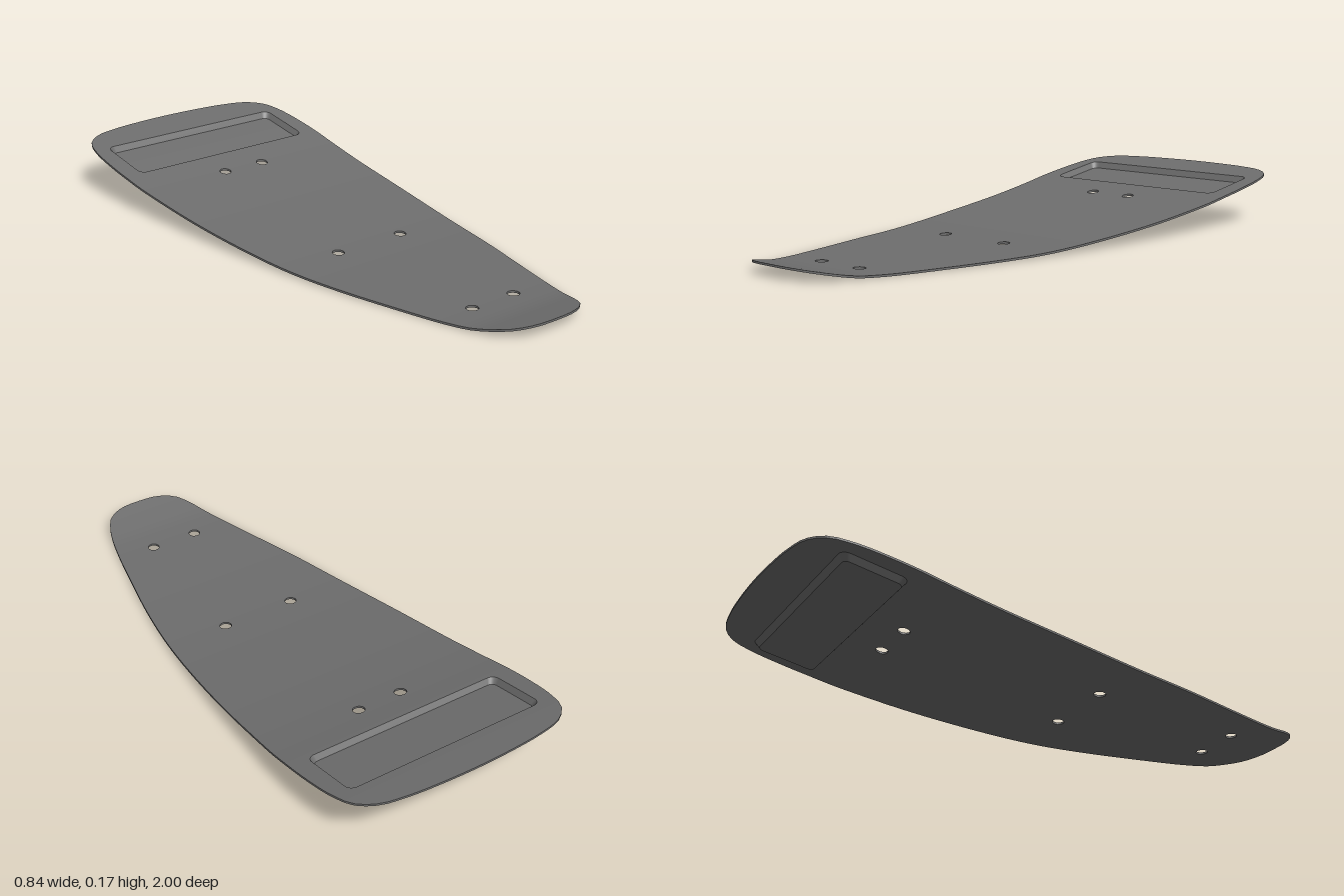
import * as THREE from 'three';

const THICK = 0.007;      // board thickness
const TRAY_DEPTH = 0.02;  // recess depth below the deck

// Side profile of the underside: [z, y]
const PROFILE = [
  [-1, 0.168], [-0.86, 0.147], [-0.643, 0.11], [-0.525, 0.088], [-0.3, 0.055], [0, 0.023],
  [0.2, 0.008], [0.4, 0.003], [0.7, 0], [0.8, 0.002], [0.85, 0.006], [0.92, 0.019], [1, 0.036],
];

// Smooth height along the board (cubic through the profile points)
function height(z) {
  const n = PROFILE.length;
  let i = 0;
  while (i < n - 2 && z > PROFILE[i + 1][0]) i++;
  const slope = (k) => {
    const a = PROFILE[Math.max(k - 1, 0)], b = PROFILE[Math.min(k + 1, n - 1)];
    return (b[1] - a[1]) / (b[0] - a[0]);
  };
  const [z0, y0] = PROFILE[i], [z1, y1] = PROFILE[i + 1];
  const h = z1 - z0, t = (z - z0) / h, t2 = t * t, t3 = t2 * t;
  return y0 * (2 * t3 - 3 * t2 + 1) + h * slope(i) * (t3 - 2 * t2 + t)
    + y1 * (3 * t2 - 2 * t3) + h * slope(i + 1) * (t3 - t2);
}
const grade = (z) => (height(z + 0.004) - height(z - 0.004)) / 0.008;

// Keep the part of a polygon on one side of the plane z = c
function clip(poly, c, sign) {
  const out = [];
  poly.forEach((a, i) => {
    const b = poly[(i + 1) % poly.length];
    const da = sign * (a.z - c), db = sign * (b.z - c);
    if (da >= 0) out.push(a);
    if ((da > 0 && db < 0) || (da < 0 && db > 0)) out.push(a.clone().lerp(b, da / (da - db)));
  });
  return out;
}

// Flat plate cut into bands along z and bent to the side profile
function bentPlate(shape, drop = 0) {
  const flat = new THREE.ExtrudeGeometry(shape, { depth: THICK, bevelEnabled: false, curveSegments: 12 });
  flat.rotateX(-Math.PI / 2);
  const p = flat.attributes.position;
  const positions = [], normals = [];
  const step = 0.04;
  for (let i = 0; i < p.count; i += 3) {
    const tri = [0, 1, 2].map((k) => new THREE.Vector3().fromBufferAttribute(p, i + k));
    const face = new THREE.Triangle(...tri).getNormal(new THREE.Vector3());
    const zs = tri.map((v) => v.z);
    const first = Math.floor(Math.min(...zs) / step), last = Math.ceil(Math.max(...zs) / step);
    for (let b = first; b < Math.max(last, first + 1); b++) {
      const poly = clip(clip(tri, b * step, 1), (b + 1) * step, -1);
      for (let k = 1; k < poly.length - 1; k++) {
        const part = [poly[0], poly[k], poly[k + 1]];
        if (new THREE.Triangle(...part).getArea() < 1e-10) continue;
        for (const v of part) {
          positions.push(v.x, v.y + height(v.z) - drop, v.z);
          const n = face.clone();
          if (Math.abs(face.y) > 0.5) n.set(0, 1, -grade(v.z)).normalize().multiplyScalar(Math.sign(face.y));
          normals.push(n.x, n.y, n.z);
        }
      }
    }
  }
  const geo = new THREE.BufferGeometry();
  geo.setAttribute('position', new THREE.Float32BufferAttribute(positions, 3));
  geo.setAttribute('normal', new THREE.Float32BufferAttribute(normals, 3));
  return geo;
}

// Board outline, wide tail at the back and narrow nose at the front
function outline() {
  const half = [
    [0, -1], [0.13, -0.996], [0.24, -0.986], [0.33, -0.965], [0.385, -0.92], [0.408, -0.85],
    [0.418, -0.74], [0.418, -0.6], [0.406, -0.4], [0.392, -0.2], [0.372, 0], [0.345, 0.2],
    [0.308, 0.4], [0.26, 0.6], [0.222, 0.75], [0.19, 0.86], [0.168, 0.915], [0.138, 0.96],
    [0.08, 0.99], [0, 0.997],
  ];
  const mirrored = half.slice(1, -1).reverse().map(([x, z]) => [-x, z]);
  const curve = new THREE.CatmullRomCurve3(
    [...half, ...mirrored].map(([x, z]) => new THREE.Vector3(x, -z, 0)), true);
  return curve.getSpacedPoints(160).slice(0, -1).map((v) => new THREE.Vector2(v.x, v.y));
}

// Rounded rectangle of the tray, shrunk by an inset
function trayRing(inset) {
  const x = 0.355 - inset, y0 = 0.643 + inset, y1 = 0.86 - inset, r = 0.026 - inset * 0.6;
  const path = new THREE.Path();
  path.absarc(x - r, y0 + r, r, -Math.PI / 2, 0);
  path.absarc(x - r, y1 - r, r, 0, Math.PI / 2);
  path.absarc(-x + r, y1 - r, r, Math.PI / 2, Math.PI);
  path.absarc(-x + r, y0 + r, r, Math.PI, Math.PI * 1.5);
  return path.getPoints(8);
}

// Sloped wall between two rings of { inset, depth }; faces outward when a is the lower one
function trayWall(a, b) {
  const positions = [], index = [];
  for (const { inset, depth } of [a, b]) {
    for (const v of trayRing(inset)) positions.push(v.x, height(-v.y) + THICK - depth, -v.y);
  }
  const n = positions.length / 6;
  for (let i = 0; i < n; i++) {
    const j = (i + 1) % n;
    index.push(i, j, n + j, i, n + j, n + i);
  }
  const geo = new THREE.BufferGeometry();
  geo.setAttribute('position', new THREE.Float32BufferAttribute(positions, 3));
  geo.setIndex(index);
  geo.computeVertexNormals();
  return geo;
}

export function createModel() {
  const group = new THREE.Group();
  group.name = 'board';
  const grey = new THREE.MeshStandardMaterial({ color: 0x6e6e6e });
  grey.name = 'grey';
  const add = (name, geo) => {
    const mesh = new THREE.Mesh(geo, grey);
    mesh.name = name;
    group.add(mesh);
  };

  // Deck with three pairs of bolt holes and the tray opening
  const deck = new THREE.Shape(outline());
  for (const [x, z] of [[0.08, -0.525], [0.132, 0.167], [0.086, 0.737]]) {
    for (const side of [-1, 1]) {
      const hole = new THREE.Path();
      hole.absarc(side * x, -z, 0.02, 0, Math.PI * 2);
      deck.holes.push(hole);
    }
  }
  deck.holes.push(new THREE.Path(trayRing(0)));
  add('deck', bentPlate(deck));

  // Recessed tray hanging under the tail
  const inset = 0.012;
  add('trayFloor', bentPlate(new THREE.Shape(trayRing(inset)), TRAY_DEPTH));
  add('trayInnerWall', trayWall({ inset: 0, depth: 0 }, { inset, depth: TRAY_DEPTH }));
  add('trayOuterWall', trayWall({ inset, depth: TRAY_DEPTH + THICK }, { inset: -0.002, depth: THICK }));

  return group;
}
